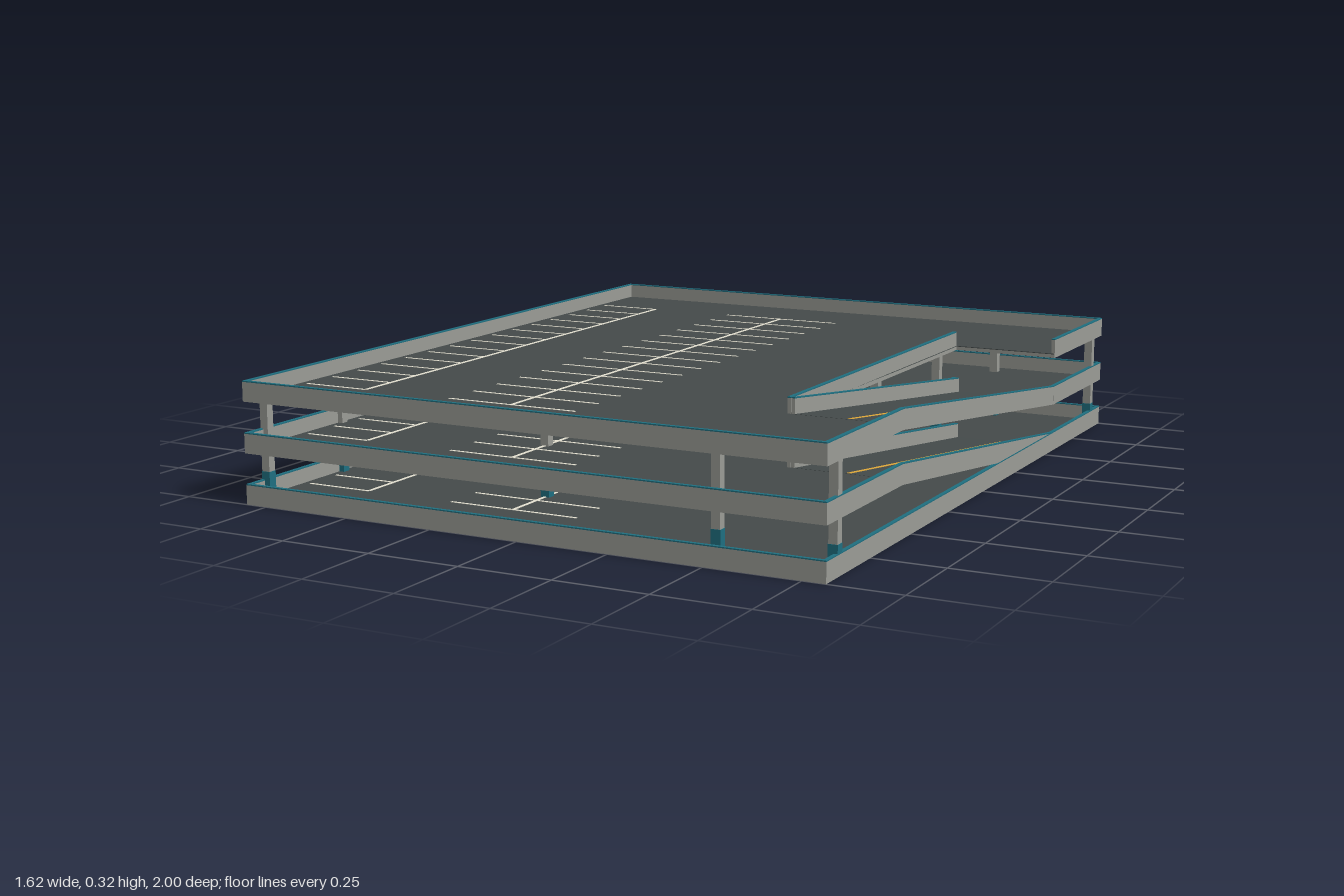
import * as THREE from 'three';

const mat = (name, color) => {
  const m = new THREE.MeshStandardMaterial({ color });
  m.name = name;
  return m;
};

export function createModel() {
  const concrete = mat('concrete', 0x9a9c96);
  const asphalt = mat('asphalt', 0x444a4a);
  const teal = mat('teal trim', 0x1f6f80);
  const white = mat('parking line white', 0xe6e2d2);
  const yellow = mat('lane yellow', 0xe0a93a);

  const X = 0.81, Z = 1, STEP = 0.134, SLAB = 0.012, WALL = 0.054, T = 0.01, CAP = 0.003;
  const RX = 0.515, RZ = 0.56; // ramp opening: inner x and half length
  const model = new THREE.Group();
  model.name = 'parkingGarage';

  // Box given by its limits; an optional rise shears it along the ramp
  function box(parent, name, material, x0, x1, y0, y1, z0, z1, rise = 0) {
    const g = new THREE.BoxGeometry(x1 - x0, y1 - y0, z1 - z0);
    g.translate((x0 + x1) / 2, (y0 + y1) / 2, (z0 + z1) / 2);
    if (rise) {
      const p = g.attributes.position;
      for (let i = 0; i < p.count; i++) p.setY(i, p.getY(i) + rise * (p.getZ(i) + RZ) / (2 * RZ));
      g.computeVertexNormals();
    }
    const m = new THREE.Mesh(g, material);
    m.name = name;
    parent.add(m);
  }

  // Low wall with a painted top edge
  function parapet(parent, name, x0, x1, z0, z1, y, rise = 0) {
    box(parent, name, concrete, x0, x1, y, y + WALL - CAP, z0, z1, rise);
    box(parent, name + 'Trim', teal, x0, x1, y + WALL - CAP, y + WALL, z0, z1, rise);
  }

  // Horizontal plate, notched on the +x side where a ramp comes up
  function plate(parent, name, material, inset, y, h, open) {
    const x = X - inset, z = Z - inset;
    const pts = [[-x, -z], [x, -z]];
    if (open) pts.push([x, -RZ], [RX, -RZ], [RX, RZ], [x, RZ]);
    pts.push([x, z], [-x, z]);
    const g = new THREE.ExtrudeGeometry(
      new THREE.Shape(pts.map(([a, b]) => new THREE.Vector2(a, -b))), { depth: h, bevelEnabled: false });
    g.rotateX(-Math.PI / 2);
    g.translate(0, y, 0);
    const m = new THREE.Mesh(g, material);
    m.name = name;
    parent.add(m);
  }

  for (let level = 0; level < 3; level++) {
    const y = level * STEP, open = level > 0;
    const floor = new THREE.Group();
    floor.name = 'level' + level;
    model.add(floor);

    plate(floor, 'slab', concrete, 0.002, y, SLAB - 0.002, open);
    plate(floor, 'deckSurface', asphalt, 0.002, y + SLAB - 0.002, 0.002, open);

    // Perimeter walls, with a vehicle entrance at the back of the ground floor
    parapet(floor, 'frontWall', -X, X, Z - T, Z, y);
    if (open) parapet(floor, 'backWall', -X, X, -Z, -Z + T, y);
    else {
      parapet(floor, 'backWallRight', -X, -0.615, -Z, -Z + T, y);
      parapet(floor, 'backWallLeft', -0.31, X, -Z, -Z + T, y);
    }
    parapet(floor, 'rightWall', -X, -X + T, -Z + T, Z - T, y);
    if (open) {
      parapet(floor, 'leftWallBack', X - T, X, -Z + T, -RZ, y);
      parapet(floor, 'leftWallFront', X - T, X, RZ, Z - T, y);
      parapet(floor, 'openingWall', RX - T, RX, -RZ, RZ, y);
    } else parapet(floor, 'leftWall', X - T, X, -Z + T, Z - T, y);

    // Parking bay lines: a single row and a double row
    const l0 = y + SLAB, l1 = l0 + 0.001, w = 0.004, pitch = 0.111;
    for (const [x0, x1, spine] of [[-0.78, -0.592, -0.592], [-0.335, 0.035, -0.15]]) {
      for (let i = -7; i <= 7; i++)
        box(floor, 'bayLine', white, x0, x1, l0, l1, i * pitch - w, i * pitch + w);
      box(floor, 'bayEndLine', white, spine - w, spine + w, l0, l1 + 0.0005, -7 * pitch, 7 * pitch);
    }

    if (level === 2) continue;

    // Columns up to the slab above, with painted feet on the ground floor
    const spots = [];
    for (const x of [-0.797, 0.797]) for (const z of [-0.925, 0.925]) spots.push([x, z]);
    for (const z of [-0.925, -0.443, 0.003, 0.45, 0.925]) spots.push([0.502, z]);
    for (const x of [-0.797, -0.15]) for (const z of [-0.72, -0.275, 0.17, 0.612]) spots.push([x, z]);
    const r = 0.0115;
    for (const [x, z] of spots) {
      box(floor, 'column', concrete, x - r, x + r, y + SLAB, y + STEP, z - r, z + r);
      if (level === 0)
        box(floor, 'columnFoot', teal, x - r - 0.001, x + r + 0.001, y + SLAB, y + 0.075, z - r - 0.001, z + r + 0.001);
    }

    // Ramp to the next level, climbing towards the front
    const ramp = new THREE.Group();
    ramp.name = 'ramp' + level;
    model.add(ramp);
    const rx0 = RX + 0.0005, rx1 = X - 0.0005;
    box(ramp, 'rampSlab', concrete, rx0 + 0.001, rx1 - 0.001, y, y + SLAB - 0.002, -RZ, RZ, STEP);
    box(ramp, 'rampSurface', asphalt, rx0 + 0.001, rx1 - 0.001, y + SLAB - 0.002, y + SLAB + 0.0005, -RZ, RZ, STEP);
    box(ramp, 'laneLine', yellow, 0.66, 0.67, y + SLAB, y + SLAB + 0.0015, -RZ + 0.01, RZ - 0.01, STEP);
    parapet(ramp, 'rampInnerWall', rx0, rx0 + T, -RZ, RZ, y, STEP);
    parapet(ramp, 'rampOuterWall', rx1 - T, rx1, -RZ, RZ, y, STEP);
  }
  return model;
}
